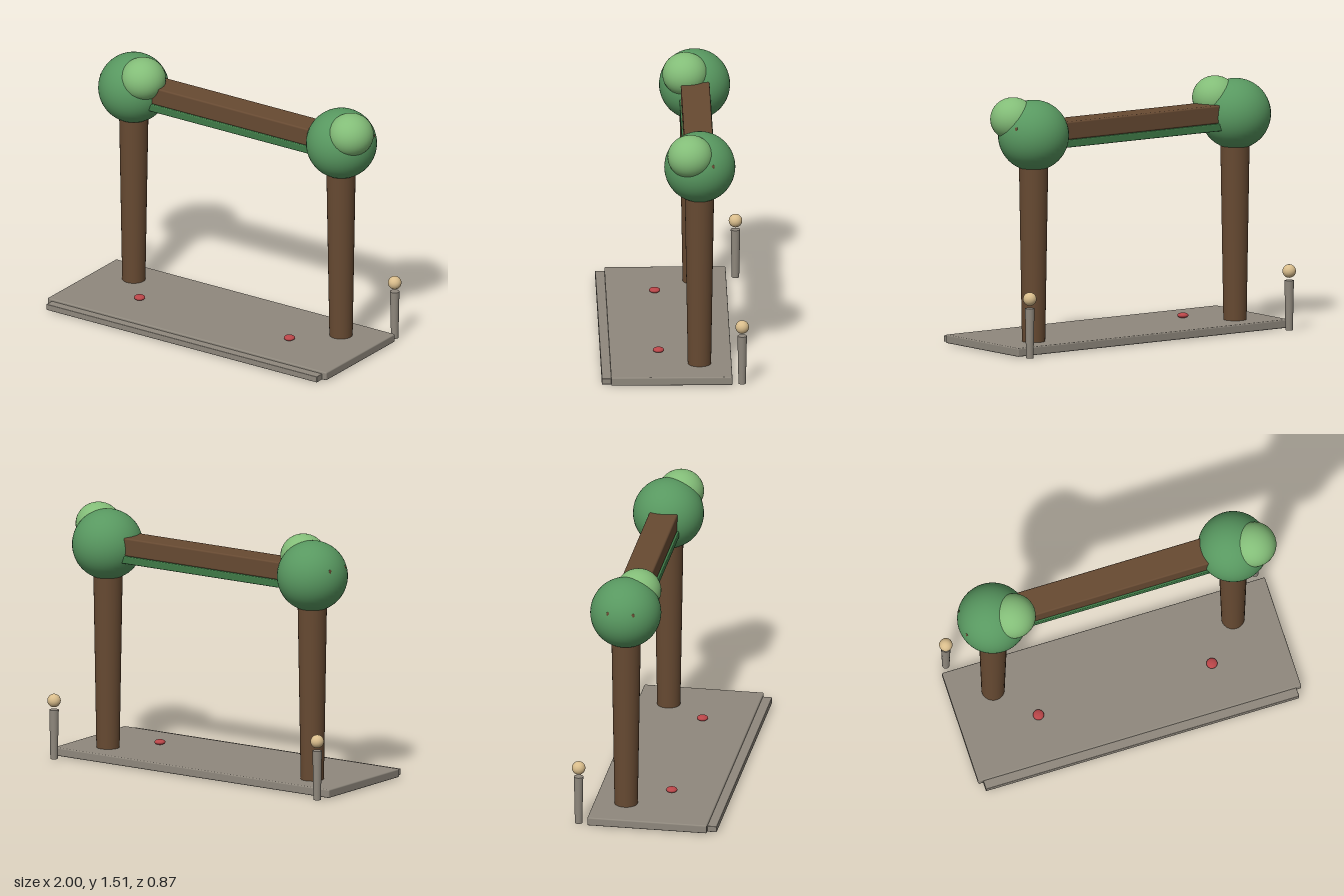
import * as THREE from 'three';
import { RoundedBoxGeometry } from 'three/addons/geometries/RoundedBoxGeometry.js';

const mat = (color) => new THREE.MeshStandardMaterial({ color });

export function createModel() {
  const model = new THREE.Group();
  const stone = mat(0x8f887d), bark = mat(0x674a32), leaf = mat(0x589860);
  const lightLeaf = mat(0x83bd78), moss = mat(0x3f7a47), cream = mat(0xd9bd8c);
  const red = mat(0xb84548), sand = mat(0xa79a70);

  const add = (name, geometry, material, x, y, z) => {
    const mesh = new THREE.Mesh(geometry, material);
    mesh.name = name;
    mesh.position.set(x, y, z);
    model.add(mesh);
    return mesh;
  };
  // box given by its limits in y and z, centred on x = 0
  const slab = (name, material, width, y0, y1, z0, z1, r) =>
    add(name, new RoundedBoxGeometry(width, y1 - y0, z1 - z0, 2, r), material, 0, (y0 + y1) / 2, (z0 + z1) / 2);

  // base with front step and a panel underneath
  slab('base', stone, 2, 0.006, 0.057, -0.338, 0.378, 0.008);
  slab('frontStep', stone, 1.94, 0.006, 0.043, 0.33, 0.433, 0.004);
  add('undersidePanel', new THREE.BoxGeometry(0.8, 0.01, 0.36), sand, 0, 0.009, 0.06);

  // beam between the trees, with a mossy strip below
  slab('beam', bark, 1.866, 1.25, 1.358, -0.235, -0.065, 0.01);
  slab('beamMoss', moss, 1.6, 1.205, 1.25, -0.243, -0.057, 0.006);

  for (const s of [-1, 1]) {
    // tree: trunk widening upward, round crown, lighter tuft
    add('trunk', new THREE.CylinderGeometry(0.087, 0.068, 1.13, 32), bark, s * 0.743, 0.575, -0.148);
    add('trunkRoot', new THREE.CylinderGeometry(0.03, 0.03, 0.03, 20), bark, s * 0.743, 0.016, -0.14);
    add('crown', new THREE.SphereGeometry(0.21, 40, 28), leaf, s * 0.745, 1.285, -0.15);
    const tuft = add('tuft', new THREE.SphereGeometry(0.135, 32, 24), lightLeaf, s * 0.745 + 0.108, 1.385, -0.092);
    tuft.scale.y = 0.95;

    // rear post with its ball
    add('post', new THREE.CylinderGeometry(0.028, 0.022, 0.297, 20), stone, s * 0.957, 0.1515, -0.396);
    add('postBall', new THREE.SphereGeometry(0.04, 24, 16), cream, s * 0.957, 0.355, -0.396);

    // flat red button on a short stem
    const button = add('button', new THREE.SphereGeometry(0.033, 24, 16), red, s * 0.537, 0.071, 0.09);
    button.scale.y = 0.48;
    add('buttonStem', new THREE.CylinderGeometry(0.01, 0.01, 0.066, 12), red, s * 0.537, 0.037, 0.09);
  }
  return model;
}
